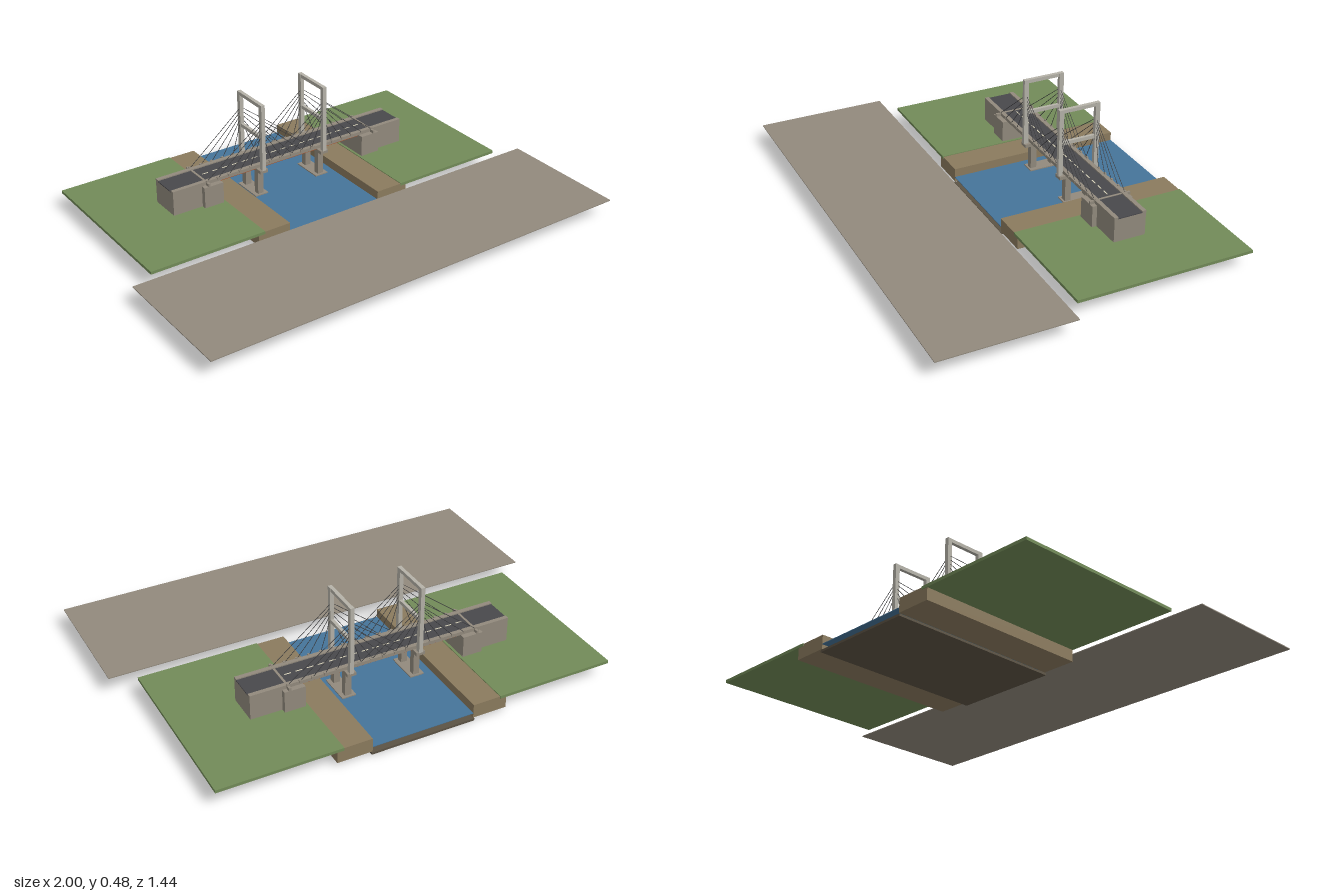
import * as THREE from 'three';

const mat = (name, color) => {
  const m = new THREE.MeshStandardMaterial({ color });
  m.name = name;
  return m;
};

export function createModel() {
  const grass = mat('grass', 0x728b58), soil = mat('soil', 0x8b7b5e);
  const water = mat('water', 0x45749a), bed = mat('river bed', 0x5c5344);
  const concrete = mat('concrete', 0x928a7d), pale = mat('pale concrete', 0xb5b2a8);
  const asphalt = mat('asphalt', 0x48484c), paint = mat('road paint', 0xd8d2b8);
  const rust = mat('rust steel', 0xa9542f), steel = mat('cable steel', 0x3c3c3e);

  const model = new THREE.Group();
  const site = new THREE.Group();
  site.name = 'site';
  site.position.z = -0.32; // bridge centre line
  model.add(site);

  // Box given by its extents along each axis
  const box = (parent, name, m, x0, x1, y0, y1, z0, z1) => {
    const mesh = new THREE.Mesh(new THREE.BoxGeometry(x1 - x0, y1 - y0, z1 - z0), m);
    mesh.position.set((x0 + x1) / 2, (y0 + y1) / 2, (z0 + z1) / 2);
    mesh.name = name;
    parent.add(mesh);
    return mesh;
  };
  // Same box on the left and right (x sign flipped)
  const pairX = (name, m, x0, x1, ...rest) => {
    box(site, name, m, x0, x1, ...rest);
    box(site, name, m, -x1, -x0, ...rest);
  };
  const up = new THREE.Vector3(0, 1, 0);
  const rod = (parent, name, m, a, b, r) => {
    const d = b.clone().sub(a);
    const mesh = new THREE.Mesh(new THREE.CylinderGeometry(r, r, d.length(), 6), m);
    mesh.position.copy(a).add(b).multiplyScalar(0.5);
    mesh.quaternion.setFromUnitVectors(up, d.normalize());
    mesh.name = name;
    parent.add(mesh);
  };

  // Separate paved slab in front
  box(model, 'pavedSlab', concrete, -1, 1, 0.075, 0.079, 0.13, 0.717);

  // Terrain and river
  pairX('grassField', grass, 0.355, 0.892, 0.066, 0.079, -0.4, 0.4);
  pairX('riverBank', soil, 0.23, 0.385, 0.014, 0.076, -0.398, 0.398);
  box(site, 'riverBed', bed, -0.235, 0.235, 0, 0.01, -0.4, 0.4);
  box(site, 'water', water, -0.23, 0.23, 0.034, 0.037, -0.398, 0.398);

  // Abutments with wing walls
  pairX('abutment', concrete, 0.44, 0.6, 0.077, 0.184, -0.073, 0.073);
  pairX('wingWall', concrete, 0.367, 0.46, 0.077, 0.176, -0.095, 0.095);
  pairX('expansionJoint', concrete, 0.43, 0.44, 0.176, 0.1895, -0.095, 0.095);

  // Deck, road and curbs
  box(site, 'deckSlab', concrete, -0.44, 0.44, 0.177, 0.184, -0.073, 0.073);
  box(site, 'road', asphalt, -0.6, 0.6, 0.184, 0.188, -0.055, 0.055);
  for (const s of [-1, 1]) {
    const z = s * 0.0645;
    box(site, 'curb', concrete, -0.6, 0.6, 0.18, 0.193, z - 0.0095, z + 0.0095);
    box(site, 'girder', rust, -0.367, 0.367, 0.167, 0.178, s * 0.055 - 0.006, s * 0.055 + 0.006);
  }
  for (let x = -0.3; x < 0.31; x += 0.1) {
    box(site, 'crossBeam', rust, x - 0.004, x + 0.004, 0.169, 0.177, -0.05, 0.05);
  }
  // Dashed centre line
  for (let i = -8; i <= 8; i++) {
    const x = i * 0.05;
    box(site, 'laneDash', paint, x - 0.015, x + 0.015, 0.1875, 0.1888, -0.0025, 0.0025);
  }

  // Towers, piers and stay cables
  for (const tx of [-0.16, 0.16]) {
    const tower = new THREE.Group();
    tower.name = 'tower';
    tower.position.x = tx;
    site.add(tower);
    box(tower, 'footing', concrete, -0.032, 0.032, 0.03, 0.042, -0.073, 0.073);
    box(tower, 'pierCap', concrete, -0.02, 0.02, 0.155, 0.17, -0.095, 0.095);
    box(tower, 'topBeam', pale, -0.008, 0.008, 0.464, 0.48, -0.08, 0.08);
    box(tower, 'middleBeam', pale, -0.007, 0.007, 0.313, 0.329, -0.08, 0.08);
    for (const s of [-1, 1]) {
      box(tower, 'pierColumn', concrete, -0.014, 0.014, 0.04, 0.158, s * 0.05 - 0.014, s * 0.05 + 0.014);
      box(tower, 'towerLeg', pale, -0.009, 0.009, 0.168, 0.48, s * 0.086 - 0.0105, s * 0.086 + 0.0105);
      for (const dir of [-1, 1]) {
        for (let k = 1; k <= 5; k++) {
          const x = dir * k * 0.055;
          const foot = new THREE.Vector3(x, 0.19, s * 0.072);
          const top = new THREE.Vector3(dir * 0.006, 0.31 + k * 0.018, s * 0.083);
          rod(tower, 'stayCable', steel, foot, top, 0.0013);
          box(tower, 'cableAnchor', concrete, x - 0.005, x + 0.005, 0.186, 0.197, s * 0.073 - 0.004, s * 0.073 + 0.004);
        }
      }
    }
  }
  return model;
}
